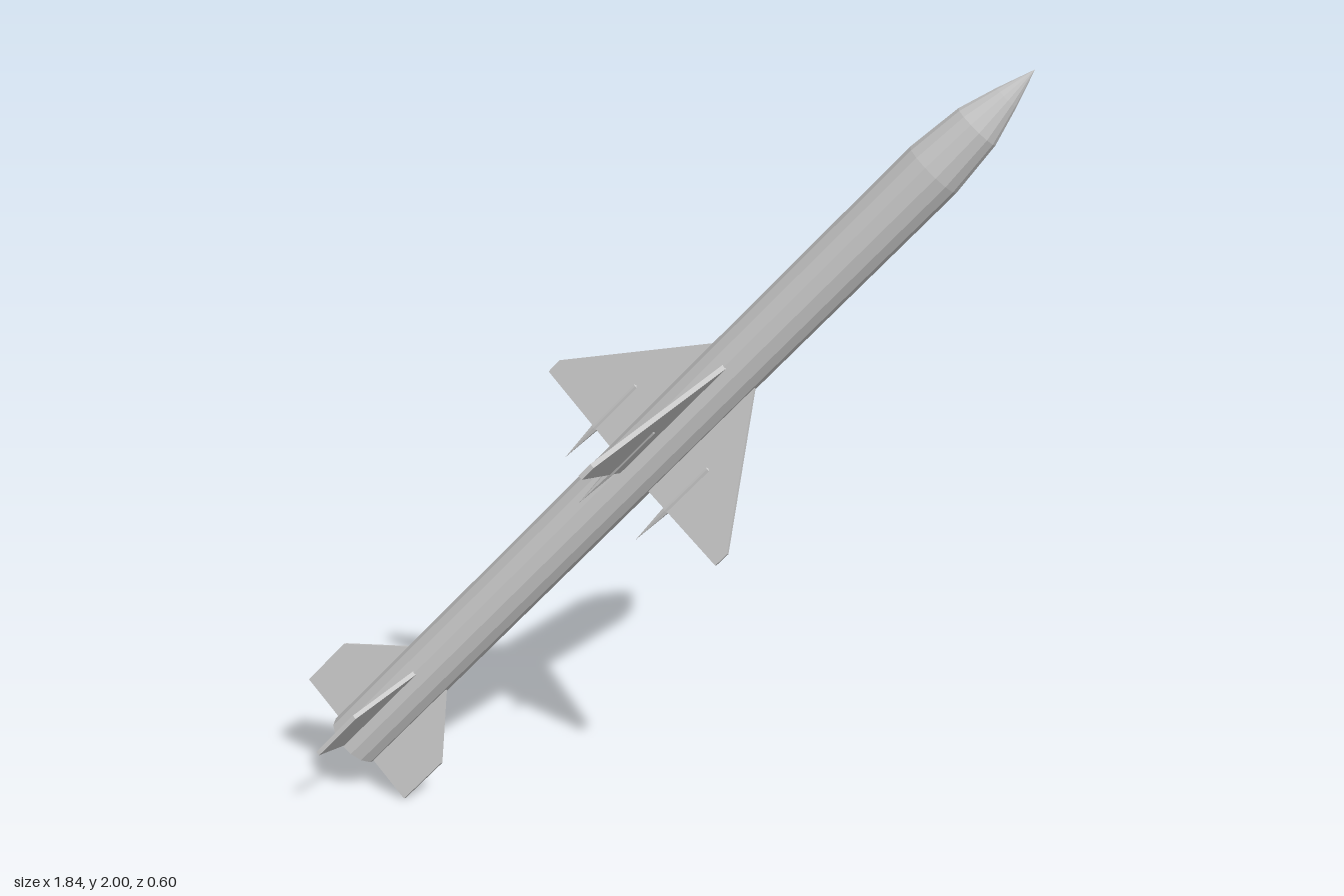
import * as THREE from 'three';

const material = new THREE.MeshStandardMaterial({ color: 0xcccccc, flatShading: true });

function part(name, geometry) {
  const mesh = new THREE.Mesh(geometry, material);
  mesh.name = name;
  return mesh;
}

// Solid of revolution about local y, from [radius, height] pairs.
function turned(name, profile, sides) {
  return part(name, new THREE.LatheGeometry(profile.map(([r, y]) => new THREE.Vector2(r, y)), sides));
}

// Thin plate in the local xy plane: x is span, y runs along the body.
function plate(name, outline, thickness) {
  const shape = new THREE.Shape(outline.map(([x, y]) => new THREE.Vector2(x, y)));
  const geometry = new THREE.ExtrudeGeometry(shape, { depth: thickness, bevelEnabled: false });
  return part(name, geometry.translate(0, 0, -thickness / 2));
}

export function createModel() {
  const model = new THREE.Group();
  const rocket = new THREE.Group();
  rocket.name = 'rocket';
  model.add(rocket);

  // Long body with closed tail, and pointed nose
  const tail = new THREE.Vector3(-0.8, 0.132, -0.1);
  const tip = new THREE.Vector3(0.905, 2, 0.105);
  const length = tip.distanceTo(tail);
  const r = 0.079;
  rocket.add(turned('body', [[0, 0], [r, 0], [r, length - 0.335]], 14));
  rocket.add(turned('nose', [
    [r, length - 0.335], [0.063, length - 0.19], [0.033, length - 0.092], [0, length],
  ], 14));

  // Four wings, tail fins and trailing edge spikes, a quarter turn apart
  for (let i = 0; i < 4; i++) {
    const quarter = new THREE.Group();
    quarter.name = 'finSet' + (i + 1);
    quarter.rotation.y = i * Math.PI / 2;
    quarter.add(plate('wing', [[0.05, 1.115], [0.335, 1.122], [0.335, 1.165], [r, 1.505], [0.05, 1.54]], 0.013));
    quarter.add(plate('tailFin', [[0.05, 0.005], [0.212, 0.005], [0.212, 0.158], [r, 0.305], [0.05, 0.337]], 0.012));
    const spike = turned('wingSpike', [[0, 1.0], [0.01, 1.115], [0.01, 1.275], [0, 1.285]], 6);
    spike.position.x = 0.143;
    quarter.add(spike);
    rocket.add(quarter);
  }

  // Tilt the whole rocket into its climbing pose
  const along = tip.clone().sub(tail).normalize();
  const span = new THREE.Vector3(0.628, -0.613, 0.479);
  span.addScaledVector(along, -span.dot(along)).normalize();
  const side = new THREE.Vector3().crossVectors(span, along);
  rocket.quaternion.setFromRotationMatrix(new THREE.Matrix4().makeBasis(span, along, side));
  rocket.position.copy(tail);
  return model;
}
